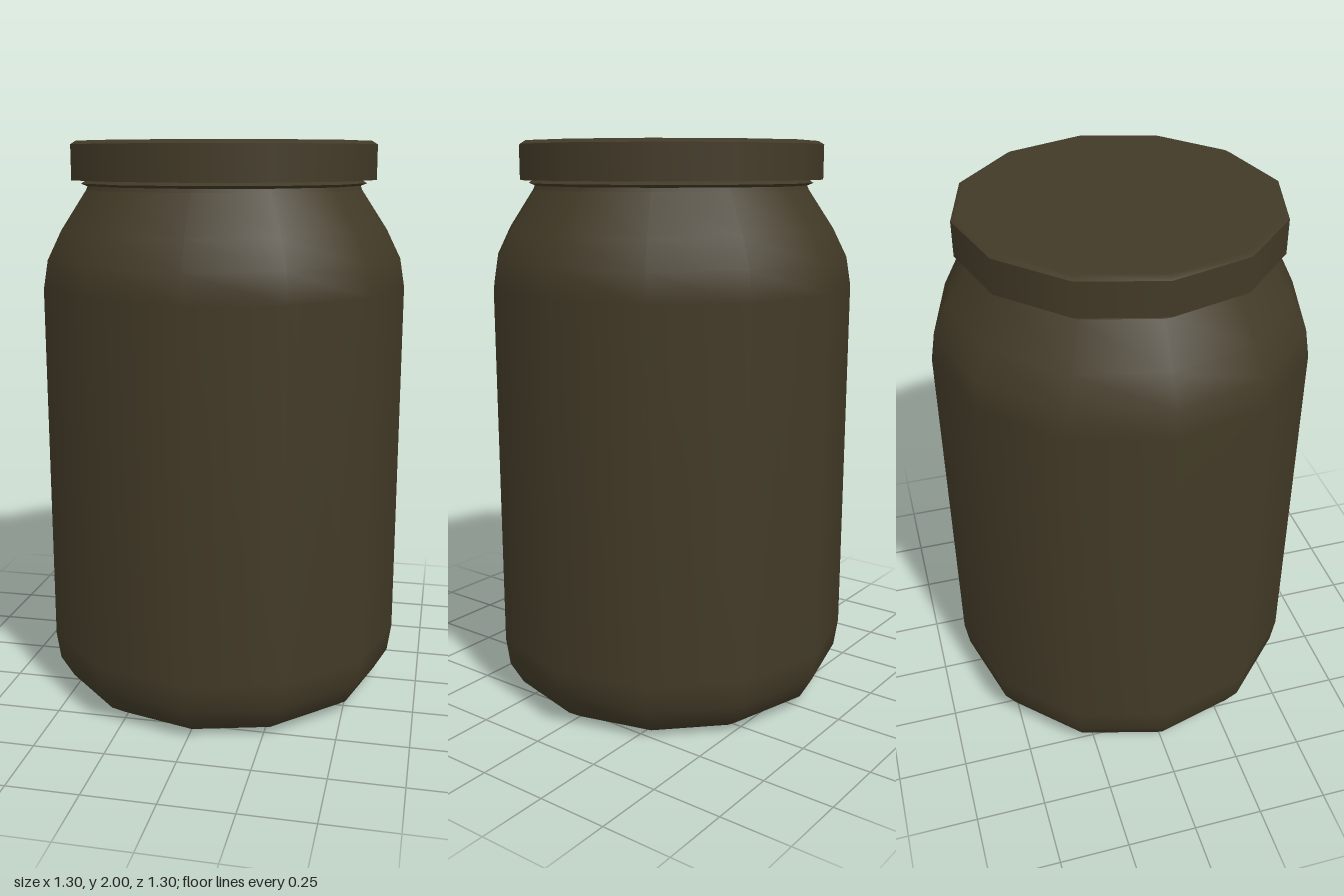
import * as THREE from 'three';

const SIDES = 12;

export function createModel() {
  const jar = new THREE.Group();
  jar.name = 'jar';

  const glass = new THREE.MeshStandardMaterial({ color: 0x423a27 });
  glass.name = 'dark olive glass';

  // Revolves a [radius, height] profile, listed from bottom to top
  function turned(name, profile, parent) {
    const points = profile.map(([r, y]) => new THREE.Vector2(r, y));
    const mesh = new THREE.Mesh(new THREE.LatheGeometry(points, SIDES), glass);
    mesh.name = name;
    parent.add(mesh);
  }

  // Body with a slightly hollow base, rounded foot and sloping shoulder
  turned('body', [
    [0, 0.03], [0.4, 0.02], [0.53, 0], [0.59, 0.04], [0.637, 0.12], [0.652, 0.22],
    [0.652, 1.5], [0.635, 1.6], [0.585, 1.7], [0.495, 1.835],
  ], jar);

  // Neck with a thin sealing ridge below the lid
  const neck = new THREE.Group();
  neck.name = 'neck';
  jar.add(neck);
  turned('neckRing', [[0.495, 1.835], [0.49, 1.848]], neck);
  turned('ridgeUnderside', [[0.49, 1.848], [0.512, 1.857]], neck);
  turned('ridgeTop', [[0.512, 1.857], [0.49, 1.87]], neck);

  // Lid, split into bands so that its edges stay crisp
  const lid = new THREE.Group();
  lid.name = 'lid';
  jar.add(lid);
  turned('lidUnderside', [[0.45, 1.868], [0.545, 1.868]], lid);
  turned('lidSide', [[0.545, 1.868], [0.545, 1.988]], lid);
  turned('lidTop', [[0.545, 1.988], [0.525, 2], [0, 2]], lid);

  return jar;
}
